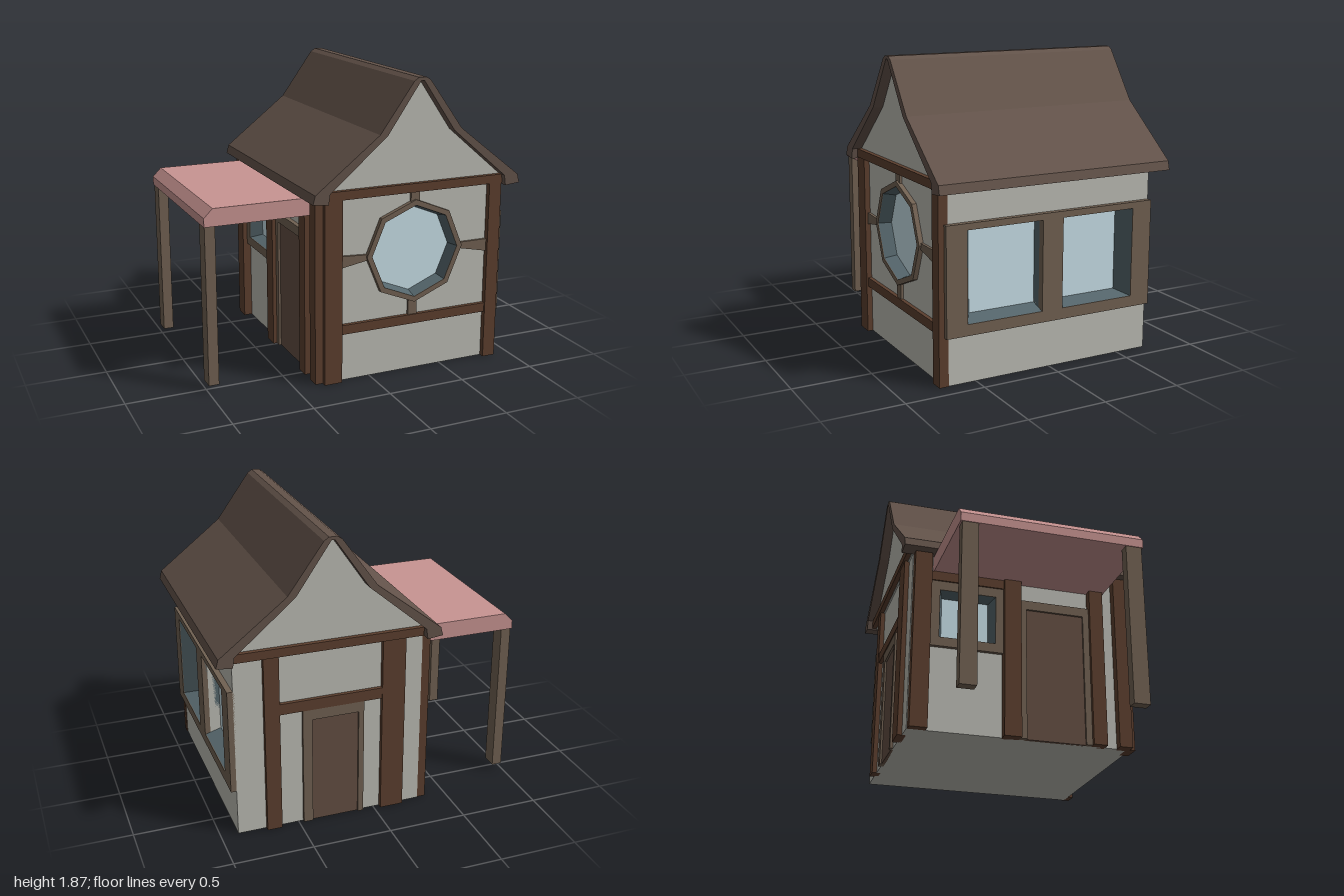
import * as THREE from 'three';

const mat = (color) => new THREE.MeshStandardMaterial({ color, flatShading: true, side: THREE.DoubleSide });
const M = {
  wall: mat(0xbcbcb4), beam: mat(0x5c3f2e), frame: mat(0x716152), roof: mat(0x63534a),
  glass: mat(0xc8e0e8), reveal: mat(0x55666c), awning: mat(0xc89492), door: mat(0x644f43),
};

function add(parent, name, geometry, material) {
  const mesh = new THREE.Mesh(geometry, material);
  mesh.name = name;
  parent.add(mesh);
  return mesh;
}

// box given by its min and max on each axis
function box(parent, name, material, x0, x1, y0, y1, z0, z1) {
  const mesh = add(parent, name, new THREE.BoxGeometry(x1 - x0, y1 - y0, z1 - z0), material);
  mesh.position.set((x0 + x1) / 2, (y0 + y1) / 2, (z0 + z1) / 2);
  return mesh;
}

// extruded outline between two depths, with optional holes
function slab(parent, name, material, pts, z0, z1, holes = []) {
  const toV = (p) => p.map(([x, y]) => new THREE.Vector2(x, y));
  const shape = new THREE.Shape(toV(pts));
  holes.forEach((h) => shape.holes.push(new THREE.Path(toV(h))));
  const geo = new THREE.ExtrudeGeometry(shape, { depth: z1 - z0, bevelEnabled: false });
  geo.translate(0, 0, z0);
  return add(parent, name, geo, material);
}

const rect = (x0, x1, y0, y1) => [[x0, y0], [x1, y0], [x1, y1], [x0, y1]];
const octagon = (cx, cy, r) => Array.from({ length: 8 }, (_, i) =>
  [cx + r * Math.cos(i * Math.PI / 4), cy + r * Math.sin(i * Math.PI / 4)]);

// glass pane set back behind splayed reveals
function recessedGlass(parent, outer, inner, zOut, zIn) {
  const pos = [];
  outer.forEach((a, i) => {
    const j = (i + 1) % outer.length;
    const b = outer[j], c = inner[j], d = inner[i];
    pos.push(...a, zOut, ...b, zOut, ...c, zIn, ...a, zOut, ...c, zIn, ...d, zIn);
  });
  const geo = new THREE.BufferGeometry();
  geo.setAttribute('position', new THREE.Float32BufferAttribute(pos, 3));
  geo.computeVertexNormals();
  add(parent, 'windowReveal', geo, M.reveal);
  slab(parent, 'windowGlass', M.glass, inner, zIn - 0.01, zIn);
}

// group whose local +z faces outward from one side of the house
function side(parent, name, angle) {
  const g = new THREE.Group();
  g.name = name;
  g.rotation.y = angle;
  parent.add(g);
  return g;
}

function buildFront(house) {
  const g = side(house, 'frontSide', 0);
  const cx = 0.295, cy = 0.785;
  const hole = octagon(cx, cy, 0.295);
  slab(g, 'frontWall', M.wall, rect(-0.31, 0.89, 0, 1.17), 0.6, 0.705, [hole]);
  slab(g, 'roundWindowFrame', M.frame, octagon(cx, cy, 0.33), 0.69, 0.735, [hole]);
  recessedGlass(g, hole, octagon(cx, cy, 0.275), 0.73, 0.65);
  // spokes from the window to the timbers
  const spokes = [
    rect(0.265, 0.325, 1.08, 1.165),
    rect(0.26, 0.32, 0.36, 0.48),
    [[-0.2, 0.735], [-0.02, 0.765], [-0.02, 0.8], [-0.2, 0.81]],
    [[0.6, 0.765], [0.81, 0.72], [0.81, 0.8], [0.6, 0.8]],
  ];
  spokes.forEach((s) => slab(g, 'windowSpoke', M.frame, s, 0.69, 0.722));
  box(g, 'frontPost', M.beam, -0.315, -0.2, 0, 1.165, 0.68, 0.74);
  box(g, 'frontPost', M.beam, 0.81, 0.895, 0, 1.165, 0.68, 0.74);
  box(g, 'frontRail', M.beam, -0.2, 0.81, 0.31, 0.37, 0.68, 0.73);
}

function buildWindowSide(house) {
  const g = side(house, 'windowSide', Math.PI / 2);
  const holes = [-1, 1].map((s) => rect(Math.min(s * 0.07, s * 0.57), Math.max(s * 0.07, s * 0.57), 0.37, 0.93));
  slab(g, 'sideWall', M.wall, rect(-0.705, 0.705, 0, 1.17), 0.78, 0.89, holes);
  slab(g, 'doubleWindowFrame', M.frame, rect(-0.705, 0.705, 0.3, 0.97), 0.88, 0.925, holes);
  recessedGlass(g, holes[0], rect(-0.51, -0.07, 0.4, 0.9), 0.92, 0.82);
  recessedGlass(g, holes[1], rect(0.07, 0.51, 0.4, 0.9), 0.92, 0.82);
}

function buildBack(house) {
  // local x runs opposite to the house x
  const g = side(house, 'backSide', Math.PI);
  box(g, 'backWall', M.wall, -0.89, 0.31, 0, 1.17, 0.6, 0.705);
  box(g, 'backPost', M.beam, -0.71, -0.615, 0, 1.165, 0.68, 0.735);
  box(g, 'backPost', M.beam, 0.04, 0.19, 0, 1.165, 0.68, 0.735);
  box(g, 'backRail', M.beam, -0.615, 0.04, 0.78, 0.85, 0.68, 0.73);
  slab(g, 'backDoorFrame', M.frame,
    [[-0.47, 0], [-0.41, 0], [-0.41, 0.71], [-0.11, 0.71], [-0.11, 0], [-0.075, 0], [-0.075, 0.78], [-0.47, 0.78]], 0.69, 0.725);
  box(g, 'backDoor', M.door, -0.41, -0.11, 0, 0.71, 0.69, 0.712);
}

function buildPorchSide(house) {
  const g = side(house, 'porchSide', -Math.PI / 2);
  const hole = rect(-0.53, -0.17, 0.6, 0.92);
  slab(g, 'porchWall', M.wall, rect(-0.705, 0.705, 0, 1.17), 0.2, 0.31, [hole]);
  slab(g, 'porchWindowFrame', M.frame, rect(-0.59, -0.11, 0.54, 0.98), 0.3, 0.335, [hole]);
  recessedGlass(g, hole, rect(-0.5, -0.2, 0.62, 0.9), 0.33, 0.25);
  const posts = [[-0.7, -0.59], [-0.12, -0.01], [0.45, 0.54], [0.62, 0.705]];
  posts.forEach(([a, b]) => box(g, 'porchWallPost', M.beam, a, b, 0, 1.155, 0.29, 0.365));
  box(g, 'porchRail', M.beam, -0.59, -0.12, 0.98, 1.04, 0.3, 0.345);
  box(g, 'porchDoor', M.door, 0.03, 0.41, 0, 0.86, 0.3, 0.325);
  slab(g, 'porchDoorFrame', M.frame,
    [[-0.01, 0], [0.03, 0], [0.03, 0.86], [0.41, 0.86], [0.41, 0], [0.45, 0], [0.45, 0.92], [-0.01, 0.92]], 0.3, 0.34);
}

function buildRoof(house) {
  const cx = 0.295;
  const mirror = (half) => [...half, ...half.slice().reverse().map(([x, y]) => [2 * cx - x, y])];
  // half profiles from eave to ridge
  const outer = mirror([[-0.41, 1.165], [-0.395, 1.22], [0.02, 1.545], [0.24, 1.85], [0.27, 1.87]]);
  const inner = mirror([[-0.31, 1.155], [-0.3, 1.22], [0.07, 1.535], [0.285, 1.85]]);
  slab(house, 'roof', M.roof, [...outer, ...inner.reverse()], -0.78, 0.78);
  slab(house, 'gable', M.wall, mirror([[-0.305, 1.16], [-0.305, 1.222], [0.068, 1.54], [0.285, 1.855]]), -0.715, 0.715);
  [-1, 1].forEach((s) => {
    const b = box(house, 'gableBeam', M.beam, -0.3, 0.895, 1.165, 1.22, -0.03, 0.03);
    b.position.z = s * 0.715;
  });
}

function buildAwning(house) {
  const g = side(house, 'awning', 0);
  slab(g, 'awningCanopy', M.awning,
    [[-1, 1.04], [-0.3, 1.04], [-0.3, 1.15], [-0.945, 1.15], [-1, 1.095]], -0.575, 0.555);
  box(g, 'awningPost', M.frame, -0.995, -0.93, 0.04, 1.05, -0.565, -0.465);
  box(g, 'awningPost', M.frame, -0.995, -0.93, 0.04, 1.05, 0.445, 0.545);
}

export function createModel() {
  const house = new THREE.Group();
  house.name = 'cottage';
  box(house, 'floor', M.wall, -0.305, 0.885, 0, 0.03, -0.7, 0.7);
  buildFront(house);
  buildWindowSide(house);
  buildBack(house);
  buildPorchSide(house);
  buildRoof(house);
  buildAwning(house);
  return house;
}
